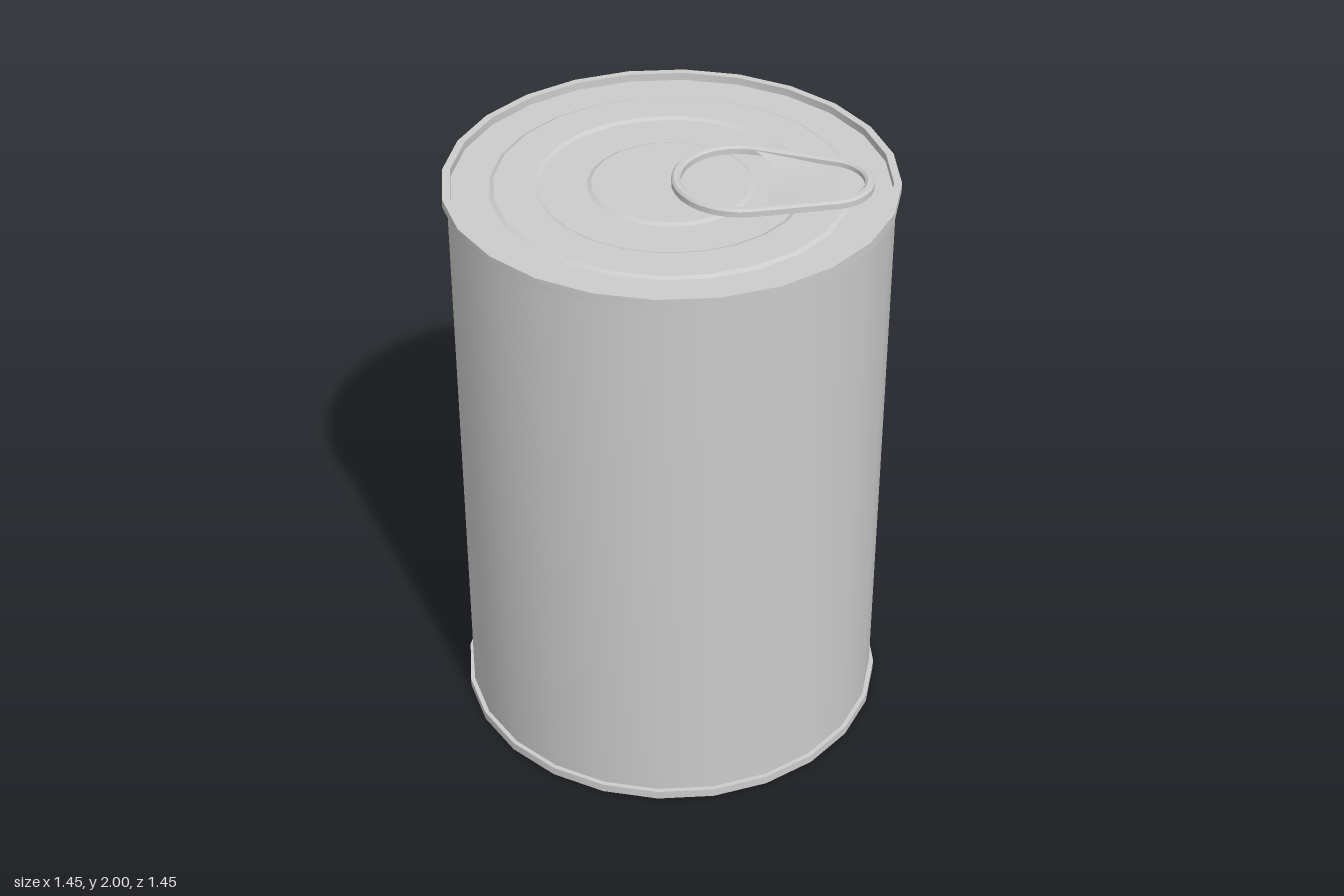
import * as THREE from 'three';
import { toCreasedNormals } from 'three/addons/utils/BufferGeometryUtils.js';

const SIDES = 24;
const HEIGHT = 1.99;
const CREASE = 0.4;

// Surface through rows of [x, y, z] points, all rows the same length
function loft(rows) {
  const n = rows[0].length;
  const index = [];
  for (let i = 0; i < rows.length - 1; i++) {
    for (let j = 0; j < n - 1; j++) {
      const a = i * n + j, b = a + n;
      index.push(a, a + 1, b, a + 1, b + 1, b);
    }
  }
  const geometry = new THREE.BufferGeometry();
  geometry.setAttribute('position', new THREE.Float32BufferAttribute(rows.flat(2), 3));
  geometry.setIndex(index);
  return toCreasedNormals(geometry, CREASE);
}

function lathe(profile) {
  const points = profile.map(([r, y]) => new THREE.Vector2(r, y));
  return toCreasedNormals(new THREE.LatheGeometry(points, SIDES), CREASE);
}

// Tab outline: a large and a small circle joined by tangents
const BIG = { x: 0.215, r: 0.215 };
const SMALL = { x: 0.49, r: 0.15 };
const SIN = (BIG.r - SMALL.r) / (SMALL.x - BIG.x);
const TANGENT = Math.acos(SIN);

function tabRim() {
  // Rim cross-section as [inset, height]
  const section = [[0, 1.974], [0, 1.993], [0.007, 2], [0.022, 2],
    [0.03, 1.993], [0.03, 1.974], [0, 1.974]];
  const rows = [];
  const arc = (circle, from, to, steps) => {
    for (let i = 0; i <= steps; i++) {
      const a = from + (to - from) * i / steps;
      rows.push(section.map(([d, y]) => [
        circle.x + (circle.r - d) * Math.cos(a), y, (circle.r - d) * Math.sin(a)]));
    }
  };
  arc(BIG, TANGENT, 2 * Math.PI - TANGENT, 18);
  arc(SMALL, -TANGENT, TANGENT, 14);
  rows.push(rows[0]);
  return loft(rows);
}

function tabPlate() {
  // Flat web with side flanks rising to the rim
  const inset = 0.03, flat = 0.13, y = 1.978;
  const rBig = BIG.r - inset, rSmall = SMALL.r - inset;
  const x0 = BIG.x + rBig * SIN, z0 = rBig * Math.sin(TANGENT);
  const x1 = SMALL.x + rSmall * SIN, z1 = rSmall * Math.sin(TANGENT);
  const row = (xInner, xOuter, h) => {
    const zi = Math.min(flat, h), yo = y + 0.25 * (h - zi);
    return [[xOuter, yo, -h], [xInner, y, -zi], [xInner, y, zi], [xOuter, yo, h]];
  };
  const xMeet = x0 + (x1 - x0) * (z0 - flat) / (z0 - z1);
  const rows = [row(0.31, x0, z0), row(xMeet, xMeet, flat)];
  for (let i = 0; i <= 6; i++) {
    const a = TANGENT * (1 - i / 6);
    const x = SMALL.x + rSmall * Math.cos(a);
    rows.push(row(x, x, rSmall * Math.sin(a)));
  }
  return loft(rows);
}

export function createModel() {
  const group = new THREE.Group();
  const metal = new THREE.MeshStandardMaterial({ color: 0xcccccc });
  const thin = new THREE.MeshStandardMaterial({ color: 0xcccccc, side: THREE.DoubleSide });
  const add = (name, geometry, material) => {
    const mesh = new THREE.Mesh(geometry, material);
    mesh.name = name;
    group.add(mesh);
  };

  // Can wall
  add('canWall', lathe([[0.71, 0.02], [0.71, 1.97]]), thin);

  // Seamed rim and recessed lid with stepped rings
  const low = 1.964, high = 1.971;
  const lid = [[0.705, 1.96], [0.725, 1.96], [0.725, HEIGHT], [0.7, HEIGHT], [0.7, low],
    [0.576, low], [0.562, high], [0.432, high], [0.418, low],
    [0.266, low], [0.252, high], [0, high]];
  add('topLid', lathe(lid), metal);

  // Base, a mirror of the lid
  add('baseLid', lathe(lid.map(([r, y]) => [r, HEIGHT - y]).reverse()), metal);

  // Pull tab
  add('pullTabRim', tabRim(), thin);
  add('pullTabPlate', tabPlate(), thin);
  return group;
}
